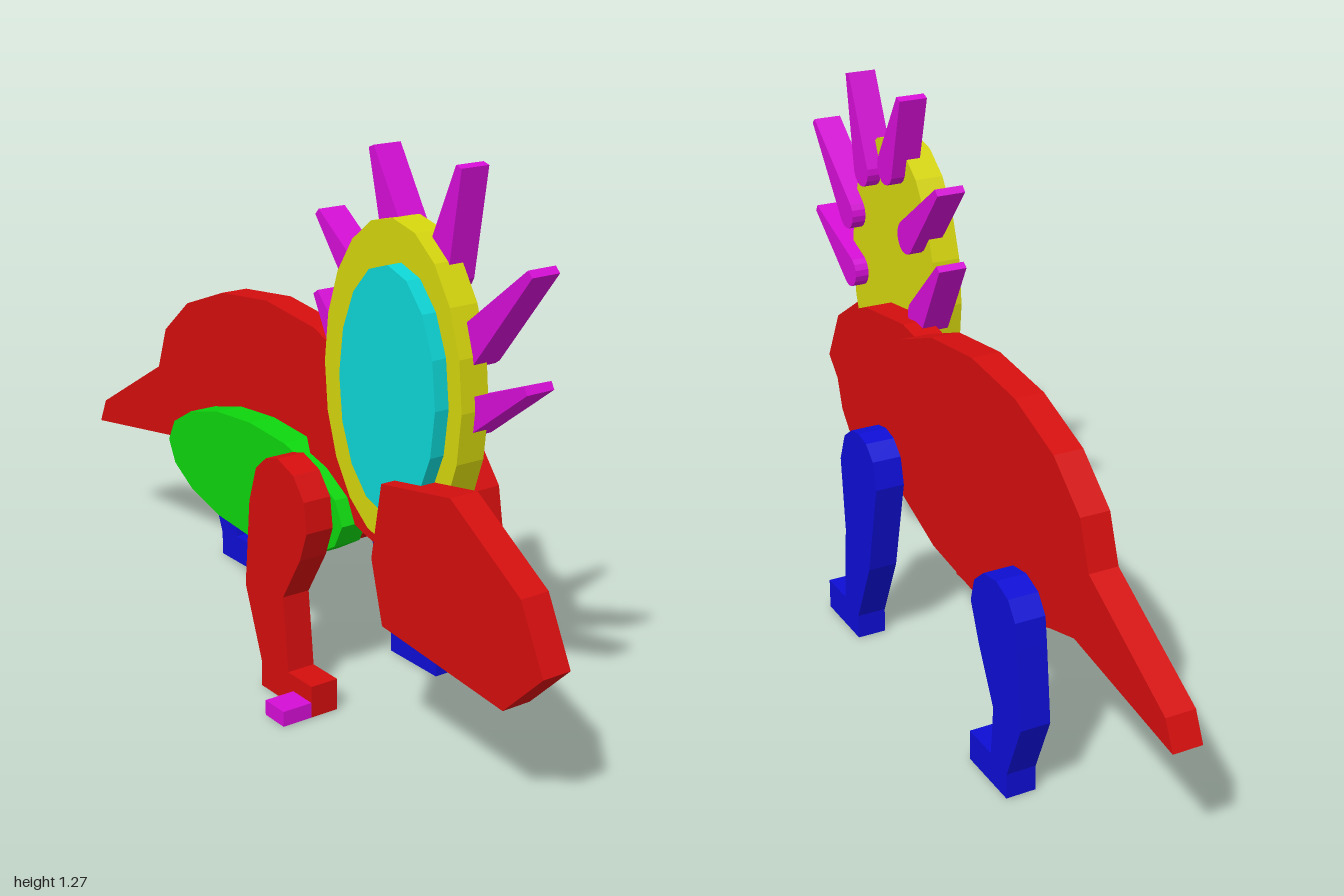
import * as THREE from 'three';

const mat = (name, color) => {
  const m = new THREE.MeshStandardMaterial({ color });
  m.name = name;
  return m;
};

// Outline of an ellipse with a fixed number of straight sides
const ellipse = (cx, cy, rx, ry, sides) =>
  Array.from({ length: sides }, (_, i) => {
    const a = (i / sides) * Math.PI * 2;
    return [cx + rx * Math.cos(a), cy + ry * Math.sin(a)];
  });

// Spike outline: rounded base narrowing to a blunt tip
function spikeOutline([bx, by], [tx, ty], r = 0.04, tip = 0.009) {
  const dir = Math.atan2(ty - by, tx - bx);
  const pts = [];
  for (let i = 0; i <= 8; i++) {
    const a = dir + Math.PI / 2 + (i / 8) * Math.PI;
    pts.push([bx + r * Math.cos(a), by + r * Math.sin(a)]);
  }
  const nx = -Math.sin(dir) * tip, ny = Math.cos(dir) * tip;
  pts.push([tx - nx, ty - ny], [tx + nx, ty + ny]);
  return pts;
}

export function createModel() {
  const group = new THREE.Group();
  const red = mat('red', 0xd60e0e);
  const blue = mat('blue', 0x0e0ed6);
  const green = mat('green', 0x0ed60e);
  const yellow = mat('yellow', 0xd6d60e);
  const cyan = mat('cyan', 0x0ed6d6);
  const magenta = mat('magenta', 0xd60ed6);

  // Flat slab cut from an outline, between two depths
  function slab(name, pts, z0, z1, material) {
    const shape = new THREE.Shape(pts.map(([x, y]) => new THREE.Vector2(x, y)));
    const geo = new THREE.ExtrudeGeometry(shape, { depth: z1 - z0, bevelEnabled: false });
    geo.translate(0, 0, z0);
    const mesh = new THREE.Mesh(geo, material);
    mesh.name = name;
    group.add(mesh);
  }

  // Body: 16-sided ellipse whose rear corner runs out into the tail
  const body = ellipse(-0.18, 0.535, 0.5, 0.285, 16);
  body.splice(9, 1, [-0.97, 0.365], [-1, 0.3], [-0.63, 0.36]);
  slab('bodyAndTail', body, -0.105, -0.035, red);

  slab('belly', ellipse(-0.15, 0.395, 0.37, 0.145, 16), -0.035, 0.035, green);

  slab('neck', [
    [0.035, 0.55], [0.05, 0.63], [0.09, 0.695], [0.165, 0.737], [0.23, 0.748],
    [0.44, 0.72], [0.56, 0.67], [0.62, 0.595], [0.637, 0.5], [0.6, 0.385],
    [0.56, 0.34], [0.5, 0.325], [0.25, 0.385], [0.13, 0.42], [0.06, 0.48],
  ], -0.07, 0, red);

  // Head shield with its inner panel
  slab('frill', ellipse(0.43, 0.785, 0.23, 0.355, 20), 0, 0.07, yellow);
  slab('frillPanel', ellipse(0.46, 0.787, 0.16, 0.267, 16), 0.07, 0.105, cyan);

  // Spikes: base point, then tip point
  [
    [[0.235, 0.755], [0.115, 0.915]],
    [[0.285, 0.94], [0.12, 1.095]],
    [[0.39, 1.08], [0.31, 1.265]],
    [[0.525, 1.04], [0.59, 1.265]],
    [[0.62, 0.905], [0.805, 1.095]],
    [[0.61, 0.755], [0.805, 0.865]],
  ].forEach(([base, tip], i) =>
    slab(`spike${i + 1}`, spikeOutline(base, tip), -0.035, 0.035, magenta));

  slab('head', [
    [0.495, 0.605], [0.715, 0.642], [0.93, 0.505], [1, 0.365],
    [0.89, 0.255], [0.505, 0.29], [0.465, 0.43],
  ], 0.07, 0.14, red);

  // Near front leg and its toe
  slab('nearFrontLeg', [
    [0.105, 0], [0.3, 0], [0.3, 0.075], [0.21, 0.075], [0.19, 0.25],
    [0.255, 0.36], [0.28, 0.43], [0.27, 0.5], [0.23, 0.55], [0.17, 0.572],
    [0.125, 0.56], [0.085, 0.525], [0.058, 0.44], [0.04, 0.23], [0.105, 0.06],
  ], 0.105, 0.175, red);
  slab('toe', [[0.23, 0], [0.3, 0], [0.3, 0.036], [0.23, 0.036]], 0.175, 0.25, magenta);

  // Far legs
  slab('farFrontLeg', [
    [0.13, 0], [0.3, 0], [0.3, 0.075], [0.205, 0.075], [0.19, 0.27],
    [0.207, 0.45], [0.18, 0.52], [0.14, 0.549], [0.1, 0.556], [0.06, 0.547],
    [0.025, 0.515], [0.01, 0.45], [0.06, 0.22], [0.13, 0.06],
  ], -0.25, -0.18, blue);
  slab('farRearLeg', [
    [-0.61, 0], [-0.445, 0], [-0.445, 0.072], [-0.54, 0.072], [-0.55, 0.19],
    [-0.485, 0.315], [-0.45, 0.4], [-0.465, 0.455], [-0.505, 0.49], [-0.56, 0.498],
    [-0.61, 0.48], [-0.64, 0.44], [-0.648, 0.38], [-0.667, 0.2], [-0.61, 0.06],
  ], -0.25, -0.18, blue);

  return group;
}
